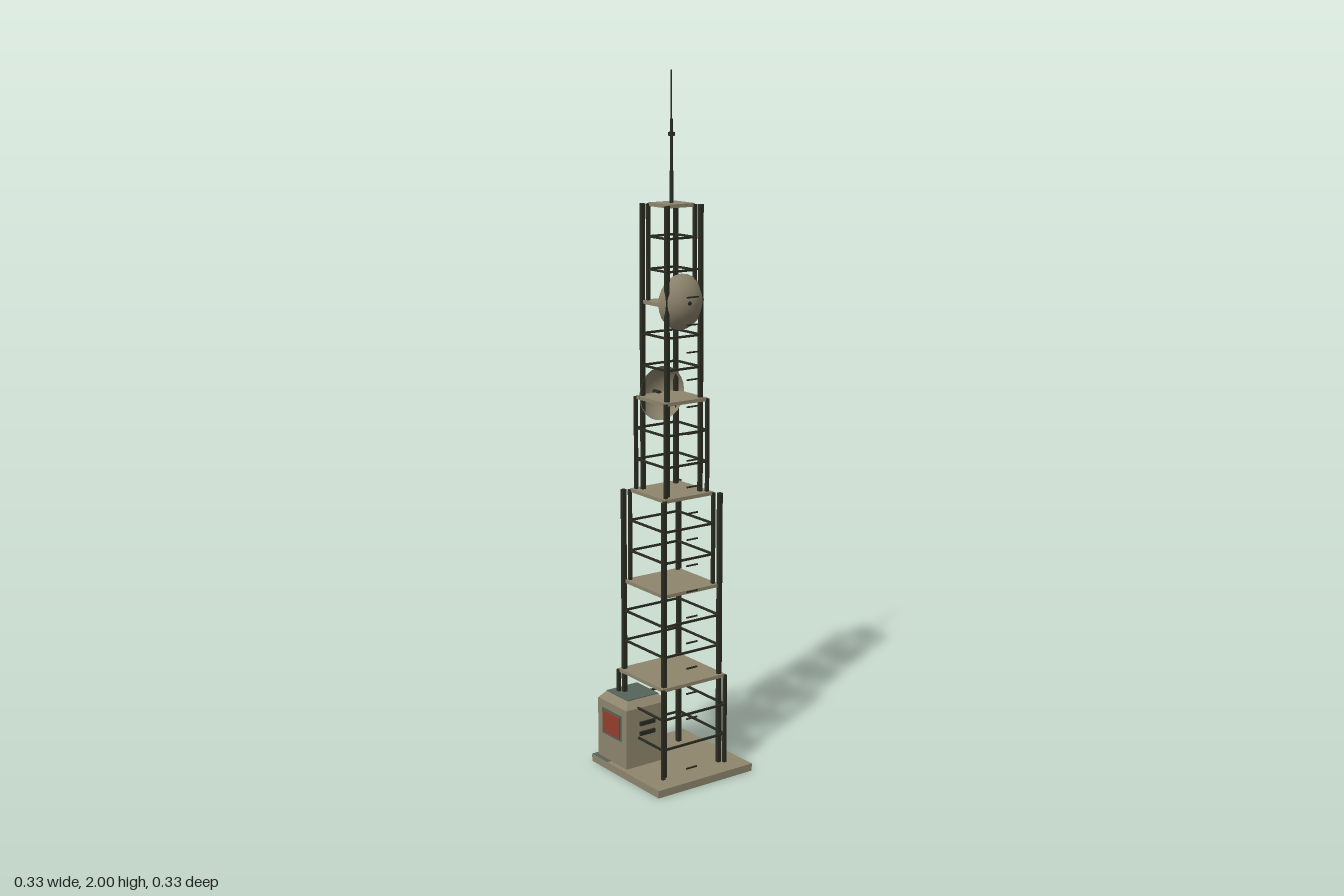
import * as THREE from 'three';

const mat = (name, color, side = THREE.FrontSide) => {
  const m = new THREE.MeshStandardMaterial({ color, side });
  m.name = name;
  return m;
};

export function createModel() {
  const tan = mat('tan paint', 0x8f866e);
  const dishTan = mat('dish tan', 0x8f866e, THREE.DoubleSide);
  const steel = mat('dark steel', 0x2a2d22);
  const teal = mat('grey teal', 0x55645a);
  const red = mat('rust red', 0x96402c);

  const root = new THREE.Group();
  root.name = 'radioTower';

  const add = (parent, name, geo, material, x, y, z) => {
    const m = new THREE.Mesh(geo, material);
    m.name = name;
    m.position.set(x, y, z);
    parent.add(m);
    return m;
  };
  const box = (parent, name, material, w, h, d, x, y, z) =>
    add(parent, name, new THREE.BoxGeometry(w, h, d), material, x, y, z);
  const group = (name) => {
    const g = new THREE.Group();
    g.name = name;
    root.add(g);
    return g;
  };
  // Four square posts at the corners of a square
  const posts = (parent, name, half, size, y0, y1) => {
    for (const sx of [-1, 1]) for (const sz of [-1, 1])
      box(parent, name, steel, size, y1 - y0, size, sx * half, (y0 + y1) / 2, sz * half);
  };

  // Foundation
  box(root, 'basePlate', tan, 0.334, 0.022, 0.334, 0, 0.011, 0);
  box(root, 'basePatch', teal, 0.076, 0.002, 0.076, -0.128, 0.0225, 0.128);

  // Six stacked lattice sections, each narrower than the last
  const base = 0.02, step = 0.27;
  for (let i = 0; i < 6; i++) {
    const half = 0.11 - i * 0.0128;
    const y0 = base + i * step;
    const section = group('section' + (i + 1));
    posts(section, 'sectionLeg', half, 0.009, y0, y0 + step);
    for (const t of [1 / 3, 2 / 3]) {
      const y = y0 + step * t;
      for (const s of [-1, 1]) {
        box(section, 'brace', steel, half * 2, 0.006, 0.005, 0, y, s * half);
        box(section, 'brace', steel, 0.005, 0.006, half * 2, s * half, y, 0);
      }
    }
    box(section, 'platform', tan, half * 2, 0.01, half * 2, 0, y0 + step - 0.002, 0);
  }

  // Long main posts running through several sections
  const main = group('mainPosts');
  posts(main, 'lowerPost', 0.0975, 0.012, base, base + 3 * step);
  posts(main, 'upperPost', 0.0575, 0.011, base + 3 * step, base + 6 * step);

  // Ladder rungs up the left side
  const ladder = group('ladder');
  for (let i = 0; i < 20; i++)
    box(ladder, 'rung', steel, 0.004, 0.004, 0.038, 0.098, 0.028 + i * 0.0759, 0);

  // Dishes, domed outward
  const R = 0.098, angle = 0.92;
  const dish = (name, side, y) => {
    const g = group(name);
    const cap = add(g, 'dishShell',
      new THREE.SphereGeometry(R, 24, 8, 0, Math.PI * 2, 0, angle), dishTan,
      side * (0.084 - R), y, 0);
    cap.rotation.z = -side * Math.PI / 2;
    const stub = add(g, 'dishFeed', new THREE.CylinderGeometry(0.006, 0.006, 0.03, 8), steel,
      side * 0.071, y, 0);
    stub.rotation.z = Math.PI / 2;
  };
  dish('upperDish', 1, 1.375);
  dish('lowerDish', -1, 1.105);

  // Antenna
  const mast = group('antenna');
  const rod = (name, r, y0, y1) =>
    add(mast, name, new THREE.CylinderGeometry(r, r, y1 - y0, 8), steel, 0, (y0 + y1) / 2, 0);
  rod('antennaBase', 0.006, 1.64, 1.73);
  rod('antennaMiddle', 0.004, 1.73, 1.87);
  rod('antennaTip', 0.002, 1.87, 2);
  rod('antennaCollar', 0.01, 1.824, 1.834);

  // Equipment cabinet with chamfered roof
  const cabinet = group('cabinet');
  cabinet.position.set(-0.082, 0, 0.081);
  box(cabinet, 'cabinetBody', tan, 0.144, 0.178, 0.144, 0, 0.111, 0);
  const roof = new THREE.CylinderGeometry(0.054 * Math.SQRT2, 0.072 * Math.SQRT2, 0.022, 4);
  roof.rotateY(Math.PI / 4);
  const flat = roof.toNonIndexed();
  flat.computeVertexNormals();
  add(cabinet, 'cabinetRoof', flat, tan, 0, 0.21, 0);
  box(cabinet, 'roofPanel', teal, 0.108, 0.003, 0.108, 0, 0.2215, 0);
  for (const s of [-1, 1]) {
    // Red doors front and back, vents on both sides
    box(cabinet, 'doorFrame', teal, 0.096, 0.078, 0.003, 0, 0.138, s * 0.0725);
    box(cabinet, 'door', red, 0.084, 0.064, 0.004, 0, 0.138, s * 0.0745);
    for (let k = 0; k < 2; k++)
      box(cabinet, 'ventSlat', steel, 0.008, 0.012, 0.052, s * 0.074, 0.122 + k * 0.03, 0);
  }

  return root;
}
